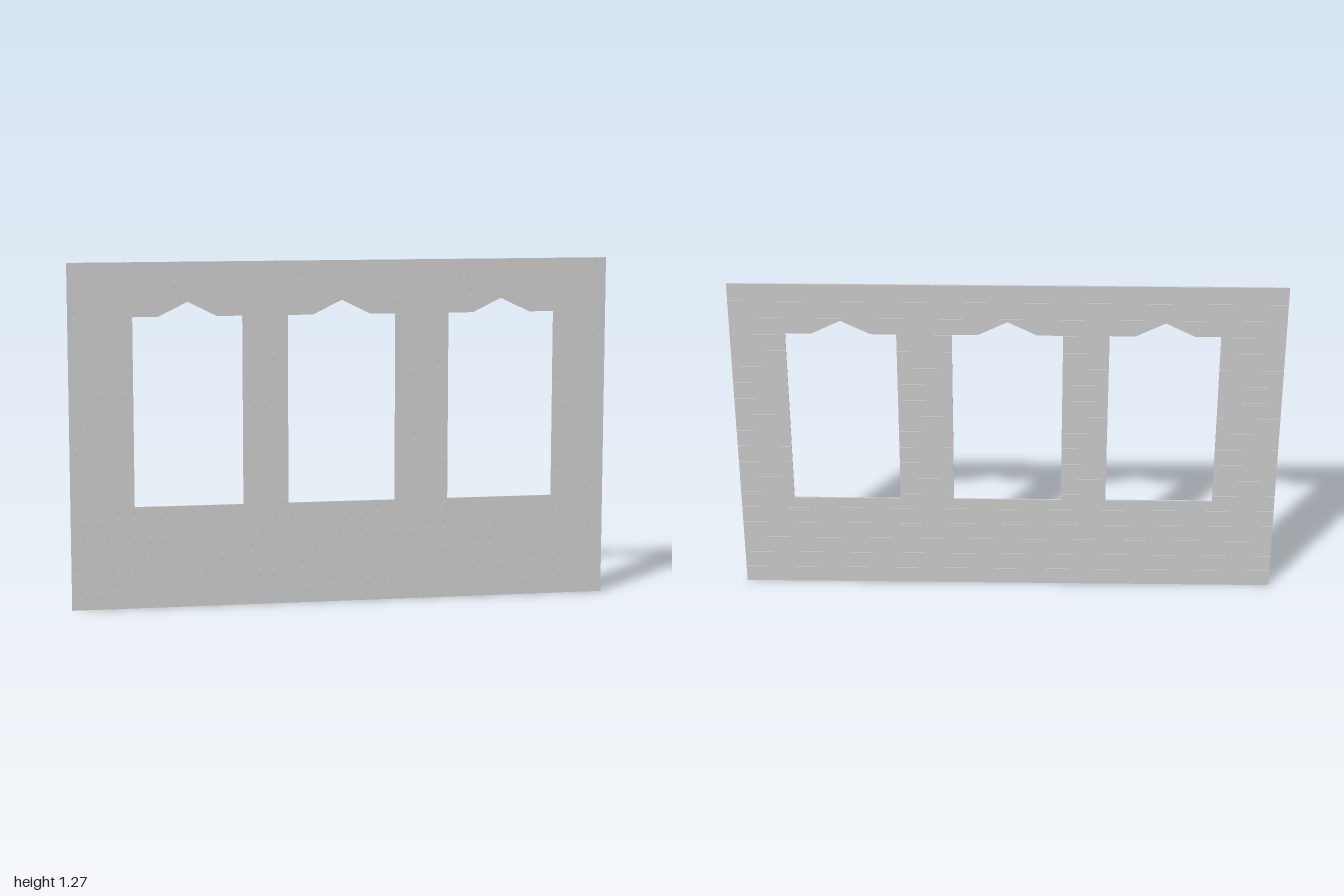
import * as THREE from 'three';

const W = 2, H = 1.27, T = 0.006;          // wall size and thickness
const ROWS = 19, PITCH = H / ROWS;         // horizontal boards
const GAP = 0.003, CORE = 0.003;           // groove height, thickness left in the groove
const WINDOWS = [-0.567, 0, 0.6];          // opening centres
const HALF = 0.2, SILL = 0.377, HEAD = 1.072, PEAK = 1.125, GABLE = 0.107;

// Solid wall stretches [x0, x1] between the openings
function piers() {
  const xs = [-W / 2, ...WINDOWS.flatMap(c => [c - HALF, c + HALF]), W / 2];
  const out = [];
  for (let i = 0; i < xs.length; i += 2) out.push([xs[i], xs[i + 1]]);
  return out;
}

export function createModel() {
  const group = new THREE.Group();
  group.name = 'boardedWallPanel';
  const material = new THREE.MeshStandardMaterial({ color: 0xcccccc, flatShading: true });

  // Flat outline pushed out to a centred thickness
  function slab(name, points, depth) {
    const shape = new THREE.Shape(points.map(([x, y]) => new THREE.Vector2(x, y)));
    const geo = new THREE.ExtrudeGeometry(shape, { depth, bevelEnabled: false });
    geo.translate(0, 0, -depth / 2);
    const mesh = new THREE.Mesh(geo, material);
    mesh.name = name;
    group.add(mesh);
  }
  const rect = (x0, x1, y0, y1) => [[x0, y0], [x1, y0], [x1, y1], [x0, y1]];

  for (let i = 0; i < ROWS; i++) {
    const y0 = i * PITCH + (i > 0 ? GAP / 2 : 0);
    const y1 = (i + 1) * PITCH - (i < ROWS - 1 ? GAP / 2 : 0);
    const L = -W / 2, R = W / 2;

    if (y0 >= SILL && y1 <= HEAD) {
      // Boards interrupted by the openings
      for (const [a, b] of piers()) slab('pierBoard', rect(a, b, y0, y1), T);
    } else if (y0 < SILL && y1 > SILL) {
      // Sill board, notched from above
      const notches = [...WINDOWS].reverse().flatMap(c =>
        [[c + HALF, y1], [c + HALF, SILL], [c - HALF, SILL], [c - HALF, y1]]);
      slab('sillBoard', [[L, y0], [R, y0], [R, y1], ...notches, [L, y1]], T);
    } else if (y0 < HEAD && y1 > HEAD) {
      // Head board, with the pointed tops of the openings cut from below
      const notches = WINDOWS.flatMap(c => [
        [c - HALF, y0], [c - HALF, HEAD], [c - GABLE, HEAD], [c, PEAK],
        [c + GABLE, HEAD], [c + HALF, HEAD], [c + HALF, y0]]);
      slab('headBoard', [[L, y0], ...notches, [R, y0], [R, y1], [L, y1]], T);
    } else {
      slab('fullBoard', rect(L, R, y0, y1), T);
    }

    // Recessed groove above each board
    if (i < ROWS - 1) {
      const y = (i + 1) * PITCH;
      const spans = y > SILL && y < HEAD ? piers() : [[L, R]];
      for (const [a, b] of spans) slab('groove', rect(a, b, y - GAP / 2, y + GAP / 2), CORE);
    }
  }
  return group;
}
